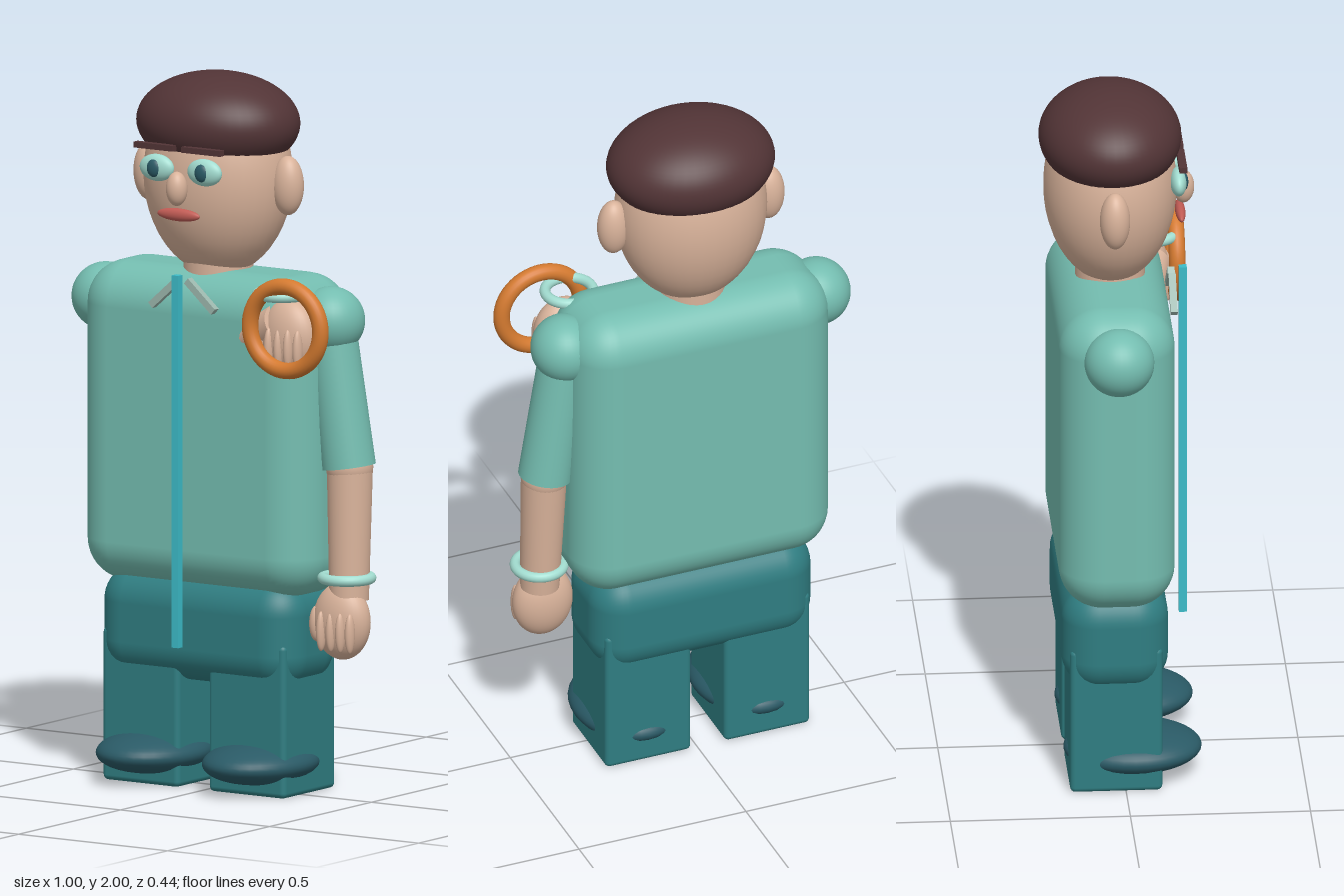
import * as THREE from 'three';
import { RoundedBoxGeometry } from 'three/addons/geometries/RoundedBoxGeometry.js';

const mat = (name, color, side = THREE.FrontSide) => {
  const m = new THREE.MeshStandardMaterial({ color, side });
  m.name = name;
  return m;
};

export function createModel() {
  const root = new THREE.Group();
  root.name = 'standingFigure';
  const skin = mat('skin', 0xd8b29a);
  const shirt = mat('shirtTeal', 0x74bdb0);
  const trousers = mat('trouserTeal', 0x2f7d81);
  const dark = mat('shoeTeal', 0x2a5a66);
  const brown = mat('capBrown', 0x523436, THREE.DoubleSide);
  const orange = mat('ringOrange', 0xd47a30);
  const mint = mat('paleMint', 0xa2dcd0);
  const cyan = mat('zipCyan', 0x3cbcc8);
  const red = mat('lipRed', 0xc25c55);
  const grey = mat('collarGrey', 0x9db8ae);
  const CX = -0.03, CZ = -0.024; // body axis

  const add = (name, geo, m, pos, parent = root) => {
    const mesh = new THREE.Mesh(geo, m);
    mesh.name = name;
    mesh.position.set(...pos);
    parent.add(mesh);
    return mesh;
  };
  const ball = (name, m, pos, r, parent) =>
    add(name, new THREE.SphereGeometry(1, 36, 24).scale(...r), m, pos, parent);
  const block = (name, m, pos, size, radius) =>
    add(name, new RoundedBoxGeometry(...size, 6, radius), m, pos);
  // tapered limb running from a to b
  const limb = (name, m, a, b, ra, rb) => {
    const A = new THREE.Vector3(...a), B = new THREE.Vector3(...b);
    const d = B.clone().sub(A);
    const mesh = add(name, new THREE.CylinderGeometry(rb, ra, d.length(), 32), m,
      A.clone().add(B).multiplyScalar(0.5).toArray());
    mesh.quaternion.setFromUnitVectors(new THREE.Vector3(0, 1, 0), d.normalize());
    return mesh;
  };

  // torso, hips, neck
  block('torso', shirt, [CX, 1.005, CZ], [0.77, 0.9, 0.322], 0.12);
  block('hips', trousers, [CX, 0.45, -0.027], [0.66, 0.31, 0.296], 0.1);
  add('neck', new THREE.CylinderGeometry(0.097, 0.097, 0.14, 32), skin, [CX, 1.44, CZ]);

  // head and cap
  ball('head', skin, [CX, 1.71, CZ], [0.217, 0.28, 0.185]);
  const cap = new THREE.SphereGeometry(1, 48, 24, 0, Math.PI * 2, 0, Math.PI * 2 / 3);
  add('cap', cap.scale(0.24, 0.14, 0.198), brown, [CX, 1.86, CZ]);
  ball('nose', skin, [CX, 1.697, 0.18], [0.03, 0.048, 0.03]);
  ball('mouth', red, [CX, 1.623, 0.171], [0.071, 0.018, 0.014]);

  // mirrored parts
  for (const s of [-1, 1]) {
    ball('ear', skin, [CX + s * 0.232, 1.7, -0.026], [0.046, 0.083, 0.042]);
    ball('eye', mint, [CX + s * 0.08, 1.747, 0.16], [0.056, 0.038, 0.023]);
    ball('pupil', dark, [CX + s * 0.08, 1.747, 0.176], [0.022, 0.025, 0.012]);
    add('eyebrow', new THREE.BoxGeometry(0.13, 0.016, 0.022), brown, [CX + s * 0.08, 1.808, 0.17]);
    const collar = add('collar', new THREE.BoxGeometry(0.12, 0.02, 0.02), grey,
      [CX + s * 0.06, 1.397, 0.147]);
    collar.rotation.z = -s * 0.72;
    block('leg', trousers, [CX + s * 0.178, 0.215, -0.027], [0.256, 0.43, 0.256], 0.015);
    ball('shoe', dark, [CX + s * 0.178, 0.085, 0.026], [0.15, 0.06, 0.192]);
    ball('shoulder', shirt, [CX + s * 0.377, 1.335, CZ], [0.095, 0.095, 0.097]);
  }

  // zip hanging down the front
  add('zip', new THREE.BoxGeometry(0.022, 1.045, 0.022), cyan, [CX, 0.932, 0.178]);

  // hand with curled fingers and a thumb, and a bangle above it
  const hand = (name, x, y, z, bangleX, bangleZ) => {
    const g = new THREE.Group();
    g.name = name;
    g.position.set(x, y, z);
    ball('palm', skin, [0, 0, 0], [0.088, 0.108, 0.058], g);
    for (let i = 0; i < 4; i++)
      ball('finger', skin, [-0.036 + i * 0.032, -0.025, 0.05], [0.013, 0.056, 0.017], g);
    ball('thumb', skin, [-0.072, -0.01, 0.02], [0.02, 0.05, 0.022], g);
    root.add(g);
    const bangle = add('bangle', new THREE.TorusGeometry(0.067, 0.015, 16, 40), mint,
      [bangleX, y + 0.122, bangleZ]);
    bangle.rotation.x = Math.PI / 2;
  };

  // left arm hanging down
  limb('leftSleeve', shirt, [0.345, 1.335, CZ], [0.407, 0.93, -0.026], 0.07, 0.075);
  ball('leftElbow', skin, [0.409, 0.93, -0.026], [0.066, 0.066, 0.066]);
  limb('leftForearm', skin, [0.41, 0.93, -0.026], [0.417, 0.56, -0.012], 0.064, 0.055);
  hand('leftHand', 0.403, 0.5, 0.002, 0.415, -0.004);

  // right arm folded across the chest
  limb('rightSleeve', shirt, [-0.407, 1.335, CZ], [-0.1, 1.17, 0.0], 0.07, 0.075);
  limb('rightForearm', skin, [-0.1, 1.17, 0.01], [0.27, 1.34, 0.11], 0.064, 0.055);
  hand('rightHand', 0.298, 1.3, 0.105, 0.277, 0.114);

  // hoop held in the right hand
  add('hoop', new THREE.TorusGeometry(0.118, 0.023, 20, 56), orange, [0.334, 1.338, 0.18]);

  return root;
}
